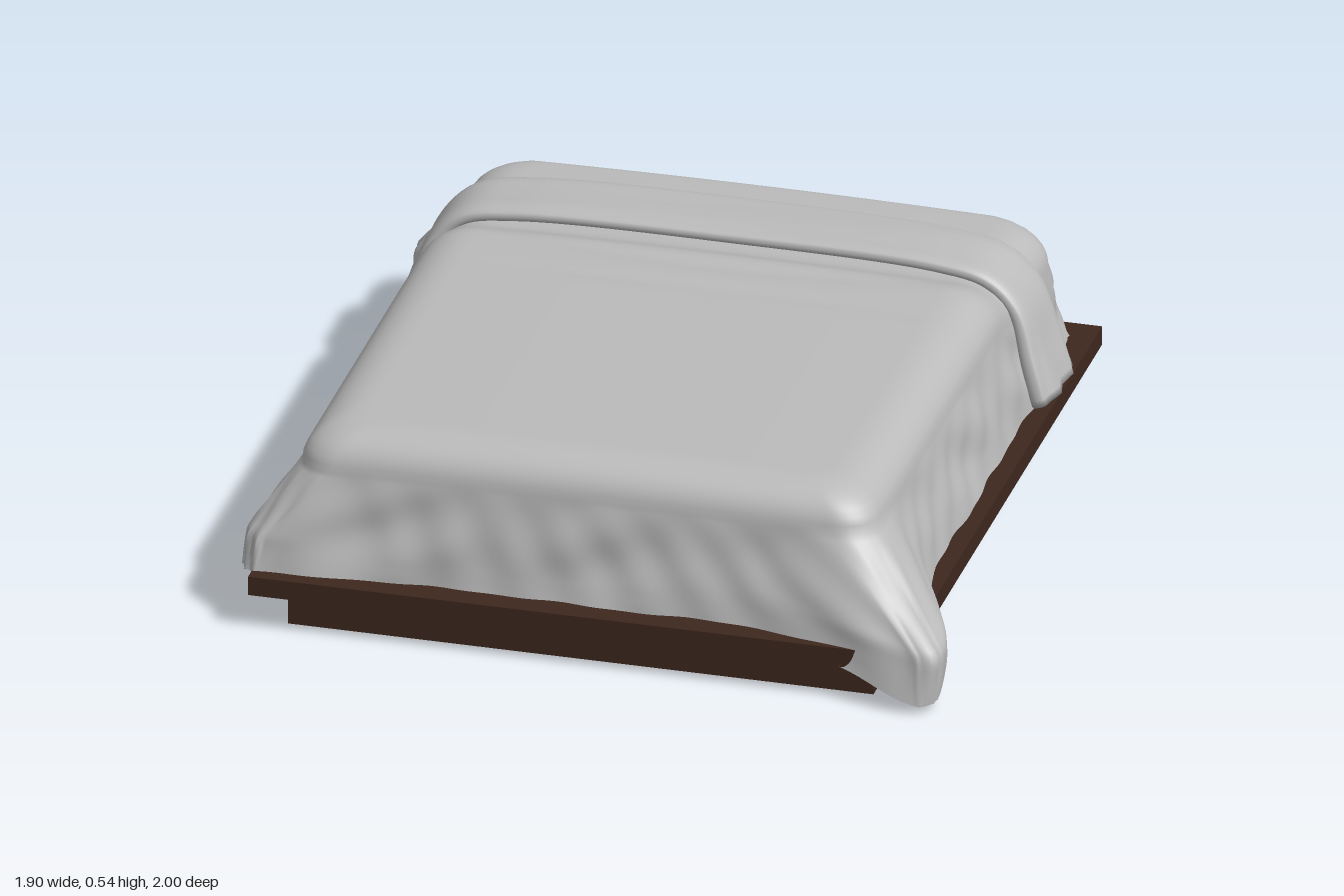
import * as THREE from 'three';

const linen = new THREE.MeshStandardMaterial({ color: 0xbbbbbb, side: THREE.DoubleSide });
linen.name = 'linen grey';
const wood = new THREE.MeshStandardMaterial({ color: 0x3e281f });
wood.name = 'dark wood';
const underside = new THREE.MeshStandardMaterial({ color: 0x220809 });
underside.name = 'blackish brown';

const { lerp, smoothstep } = THREE.MathUtils;
const bump = (t, width) => Math.exp(-((t / width) ** 2));

// Smooth skin over a list of closed rings of equal length
function loft(rings) {
  const n = rings[0].length, index = [];
  for (let i = 0; i < rings.length - 1; i++) {
    for (let j = 0; j < n; j++) {
      const k = (j + 1) % n;
      const a = i * n + j, b = i * n + k, c = a + n, d = b + n;
      index.push(a, b, c, b, d, c);
    }
  }
  const geometry = new THREE.BufferGeometry();
  geometry.setAttribute('position', new THREE.Float32BufferAttribute(rings.flat(2), 3));
  geometry.setIndex(index);
  geometry.computeVertexNormals();
  return geometry;
}

// Outline of a rounded rectangle as core position (fx, fz) and outward normal (nx, nz)
function outlineSamples(arc = 10, side = 70) {
  const corners = [[1, 1], [-1, 1], [-1, -1], [1, -1]];
  const samples = [];
  corners.forEach(([fx, fz], q) => {
    for (let i = 0; i <= arc; i++) {
      const a = (q + i / arc) * Math.PI / 2;
      samples.push({ fx, fz, nx: Math.cos(a), nz: Math.sin(a) });
    }
    const [gx, gz] = corners[(q + 1) % 4];
    const a = (q + 1) * Math.PI / 2;
    for (let i = 1; i < side; i++) {
      const t = i / side;
      samples.push({ fx: lerp(fx, gx, t), fz: lerp(fz, gz, t), nx: Math.cos(a), nz: Math.sin(a) });
    }
  });
  return samples;
}

// Point on a rounded rectangle with bounds [x0, x1, z0, z1] and corner radius r
function onRect([x0, x1, z0, z1], r, s) {
  return [
    (x0 + x1) / 2 + s.fx * ((x1 - x0) / 2 - r) + s.nx * r,
    (z0 + z1) / 2 + s.fz * ((z1 - z0) / 2 - r) + s.nz * r,
  ];
}

// Height of the bed top: higher in front of the folded band, with soft creases
function topHeight(x, z) {
  const creaseZ = -0.34 - 0.2 * x * x;
  return 0.528 - 0.042 * (1 - smoothstep(z, -0.52, -0.38)) - 0.02 * x * x
    - 0.007 * bump(z - creaseZ, 0.035) * bump(x, 0.55)
    - 0.004 * bump(z + 0.21, 0.03) * bump(x, 0.5);
}

const shoulder = [-0.79, 0.74, -0.945, 0.86];
const hem = [-0.845, 0.80, -0.955, 0.905];
const rounding = [0.14, -0.14, 0.06, -0.12];

// Loose cloth corners: position, outward push, lowest point, width of push and of drop
const flares = [
  { x: 0.80, z: 0.90, px: 0.165, pz: 0.1, y: 0.02, w: 0.32, drop: 0.23 },
  { x: -0.84, z: 0.90, px: -0.085, pz: 0.03, y: 0.146, w: 0.24, drop: 0.2 },
  { x: -0.84, z: -0.95, px: -0.125, pz: -0.045, y: 0.07, w: 0.25, drop: 0.15 },
  { x: 0.80, z: -0.95, px: -0.025, pz: 0, y: 0.146, w: 0.2, drop: 0.2 },
];

function duvetGeometry() {
  const samples = outlineSamples();
  const rings = [];
  const inset = (k) => shoulder.map((b, i) => b + rounding[i] * k);

  // Flat top, growing from the middle
  for (let i = 0; i <= 40; i++) {
    rings.push(samples.map((s) => {
      const p = onRect(inset(1), 0.07, s);
      const x = p[0] * i / 40, z = -0.04 + (p[1] + 0.04) * i / 40;
      return [x, topHeight(x, z), z];
    }));
  }
  // Rounded top edge
  const rimDrop = 0.105;
  for (let i = 1; i <= 8; i++) {
    const a = i / 8 * Math.PI / 2;
    rings.push(samples.map((s) => {
      const [x, z] = onRect(inset(1 - Math.sin(a)), 0.07 + 0.03 * Math.sin(a), s);
      const [tx, tz] = onRect(inset(1), 0.07, s);
      return [x, topHeight(tx, tz) - rimDrop * (1 - Math.cos(a)), z];
    }));
  }
  // Hanging sides with slanted folds and flared corners
  for (let i = 1; i <= 24; i++) {
    const v = i / 24;
    const bounds = shoulder.map((b, k) => lerp(b, hem[k], v));
    rings.push(samples.map((s) => {
      let [x, z] = onRect(bounds, lerp(0.1, 0.05, v), s);
      const [hx, hz] = onRect(hem, 0.05, s);
      const [tx, tz] = onRect(inset(1), 0.07, s);
      const along = hx * Math.abs(s.nz) + hz * Math.abs(s.nx);
      const fold = Math.sin(along * 19 + v * 6) + 0.6 * Math.sin(along * 37 - v * 5) + 0.9 * Math.sin(along * 8 + v * 7);
      const depth = 0.005 * Math.sin(Math.min(1, v * 1.2) * Math.PI * 0.75);
      x += s.nx * fold * depth;
      z += s.nz * fold * depth;
      let low = 0.146;
      for (const f of flares) {
        const d = Math.abs(hx - f.x) + Math.abs(hz - f.z);
        const weight = Math.exp(-((d / (f.w * (0.4 + 0.6 * v))) ** 4));
        const out = Math.min(1, v * 1.55);
        const tuck = Math.max(0, v - 0.7);
        x += f.px * weight * (out - 0.6 * tuck);
        z += f.pz * weight * (out - 0.3 * tuck);
        low += (f.y - 0.146) * bump(d, f.drop);
      }
      return [x, lerp(topHeight(tx, tz) - rimDrop, low, v), z];
    }));
  }
  return loft(rings);
}

// Folded band lying across the bed and hanging down both sides
function bandGeometry() {
  const path = new THREE.CatmullRomCurve3([
    [-0.845, 0.17], [-0.835, 0.28], [-0.79, 0.41], [-0.72, 0.48], [-0.58, 0.508], [0, 0.52],
    [0.54, 0.508], [0.67, 0.48], [0.745, 0.41], [0.79, 0.28], [0.825, 0.17],
  ].map(([x, y]) => new THREE.Vector3(x, y, 0)));
  const rows = 110, sides = 32, rings = [];
  for (let i = -1; i <= rows + 1; i++) {
    const t = Math.min(1, Math.max(0, i / rows));
    const p = path.getPointAt(t), dir = path.getTangentAt(t);
    const size = i < 0 || i > rows ? 0.01 : 1;
    const hang = smoothstep(0.5 - p.y, 0, 0.33);
    const front = lerp(-0.505, -0.46, hang), back = -0.725;
    const ring = [];
    for (let j = 0; j < sides; j++) {
      const a = -j / sides * Math.PI * 2;
      const c = Math.cos(a), s = Math.sin(a);
      // Boxy cushion section
      const across = Math.sign(c) * Math.abs(c) ** 0.5;
      const up = Math.sign(s) * Math.abs(s) ** 0.7;
      const z = (front + back) / 2 + across * size * (front - back) / 2;
      const crease = hang * 0.006 * Math.sin(z * 60 + p.y * 14) + 0.002 * Math.sin(z * 50 + p.x * 4);
      const lift = size * up * (0.022 + 0.012 * hang + (up > 0 ? crease : 0));
      ring.push([p.x - dir.y * lift, p.y + dir.x * lift, z]);
    }
    rings.push(ring);
  }
  return loft(rings);
}

function box(name, [x0, x1], [y0, y1], [z0, z1], material) {
  const mesh = new THREE.Mesh(new THREE.BoxGeometry(x1 - x0, y1 - y0, z1 - z0), material);
  mesh.position.set((x0 + x1) / 2, (y0 + y1) / 2, (z0 + z1) / 2);
  mesh.name = name;
  return mesh;
}

export function createModel() {
  const bed = new THREE.Group();
  bed.name = 'bed';

  // Wooden base; the plinth has a darker underside
  const plinthFaces = [wood, wood, wood, underside, wood, wood];
  bed.add(box('plinth', [-0.79, 0.76], [0, 0.1], [-0.92, 0.91], plinthFaces));
  bed.add(box('platform', [-0.88, 0.845], [0.098, 0.15], [-0.995, 0.97], wood));

  // Bedding
  const duvet = new THREE.Mesh(duvetGeometry(), linen);
  duvet.name = 'duvet';
  const band = new THREE.Mesh(bandGeometry(), linen);
  band.name = 'foldedBand';
  bed.add(duvet, band);
  return bed;
}
